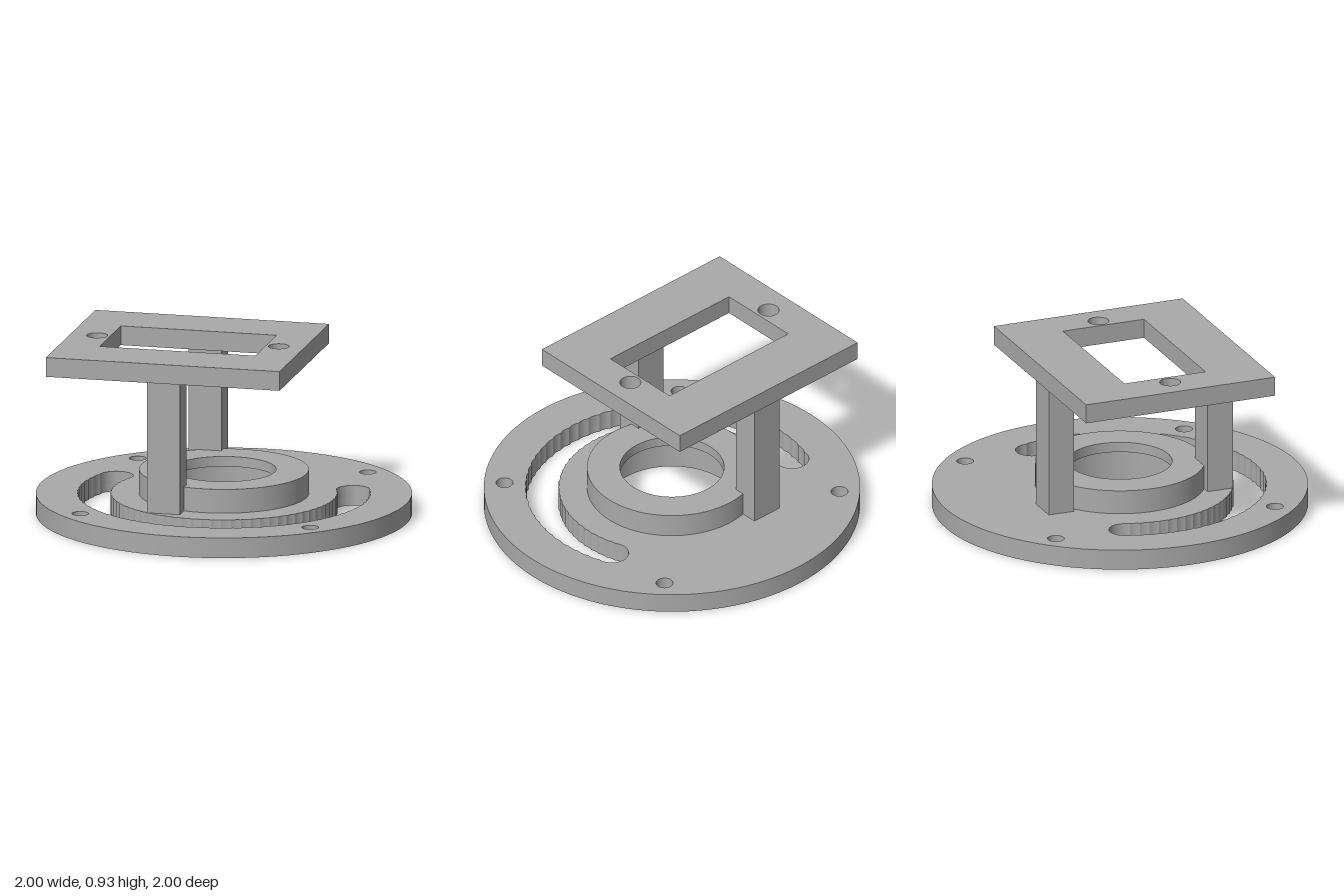
import * as THREE from 'three';
import { toCreasedNormals } from 'three/addons/utils/BufferGeometryUtils.js';

const RAD = Math.PI / 180;

function circle(x, y, r, Type = THREE.Path) {
  return new Type().absarc(x, y, r, 0, Math.PI * 2, false);
}

function rect(x0, x1, y0, y1, Type = THREE.Path) {
  return new Type([[x0, y0], [x1, y0], [x1, y1], [x0, y1]].map(p => new THREE.Vector2(...p)));
}

// Curved slot made of a row of overlapping drilled circles, leaving scalloped walls
function slotPath() {
  const R = 0.69, r = 0.09, start = 160, end = 380, step = 5, sub = 6;
  const points = [];
  const wall = (side) => {
    const row = [];
    for (let i = 0; i <= ((end - start) / step) * sub; i++) {
      const a = (start + (i * step) / sub) * RAD;
      const k = i / sub;
      const d = (k - Math.round(k)) * step * RAD;
      const rad = R * Math.cos(d) + side * Math.sqrt(r * r - (R * Math.sin(d)) ** 2);
      row.push(new THREE.Vector2(rad * Math.cos(a), rad * Math.sin(a)));
    }
    return row;
  };
  const cap = (angle, from) => {
    for (let i = 1; i < 16; i++) {
      const t = (from + (i * 180) / 16) * RAD;
      points.push(new THREE.Vector2(
        R * Math.cos(angle * RAD) + r * Math.cos(t),
        R * Math.sin(angle * RAD) + r * Math.sin(t)));
    }
  };
  points.push(...wall(1));
  cap(end, end);
  points.push(...wall(-1).reverse());
  cap(start, start + 180);
  return new THREE.Path(points);
}

export function createModel() {
  const group = new THREE.Group();
  const grey = new THREE.MeshStandardMaterial({ color: 0xaaaaaa });
  grey.name = 'plain grey';

  // Extrude a plan outline upward from y0 to y1
  function slab(name, shape, holes, y0, y1) {
    shape.holes.push(...holes);
    const flat = new THREE.ExtrudeGeometry(shape, {
      depth: y1 - y0, bevelEnabled: false, curveSegments: 48,
    });
    flat.rotateX(-Math.PI / 2).translate(0, y0, 0);
    const mesh = new THREE.Mesh(toCreasedNormals(flat, 20 * RAD), grey);
    mesh.name = name;
    group.add(mesh);
  }

  // Round base, with screw holes widened on the underside
  const screwHoles = (r) => [[1, 1], [-1, 1], [-1, -1], [1, -1]]
    .map(([sx, sy]) => circle(sx * 0.63, sy * 0.63, r));
  const baseLayer = (name, holeRadius, y0, y1) => slab(name,
    circle(0, 0, 1, THREE.Shape),
    [circle(0, 0, 0.35), slotPath(), ...screwHoles(holeRadius)], y0, y1);
  baseLayer('baseLower', 0.075, 0, 0.04);
  baseLayer('baseUpper', 0.045, 0.04, 0.11);

  // Raised collar with a narrower lip at its top
  slab('collar', circle(0, 0, 0.452, THREE.Shape), [circle(0, 0, 0.35)], 0.11, 0.185);
  slab('collarLip', circle(0, 0, 0.452, THREE.Shape), [circle(0, 0, 0.277)], 0.185, 0.24);

  // Two upright posts
  for (const [name, side] of [['frontPost', 1], ['backPost', -1]]) {
    const post = new THREE.Mesh(new THREE.BoxGeometry(0.18, 0.715, 0.145), grey);
    post.position.set(-0.2, 0.4675, side * 0.457);
    post.name = name;
    group.add(post);
  }

  // Top mounting plate with a window and two holes
  slab('topPlate', rect(-0.84, 0.44, -0.543, 0.543, THREE.Shape), [
    rect(-0.623, 0.23, -0.233, 0.233),
    circle(-0.695, 0, 0.056),
    circle(0.3, 0, 0.056),
  ], 0.825, 0.93);

  return group;
}
